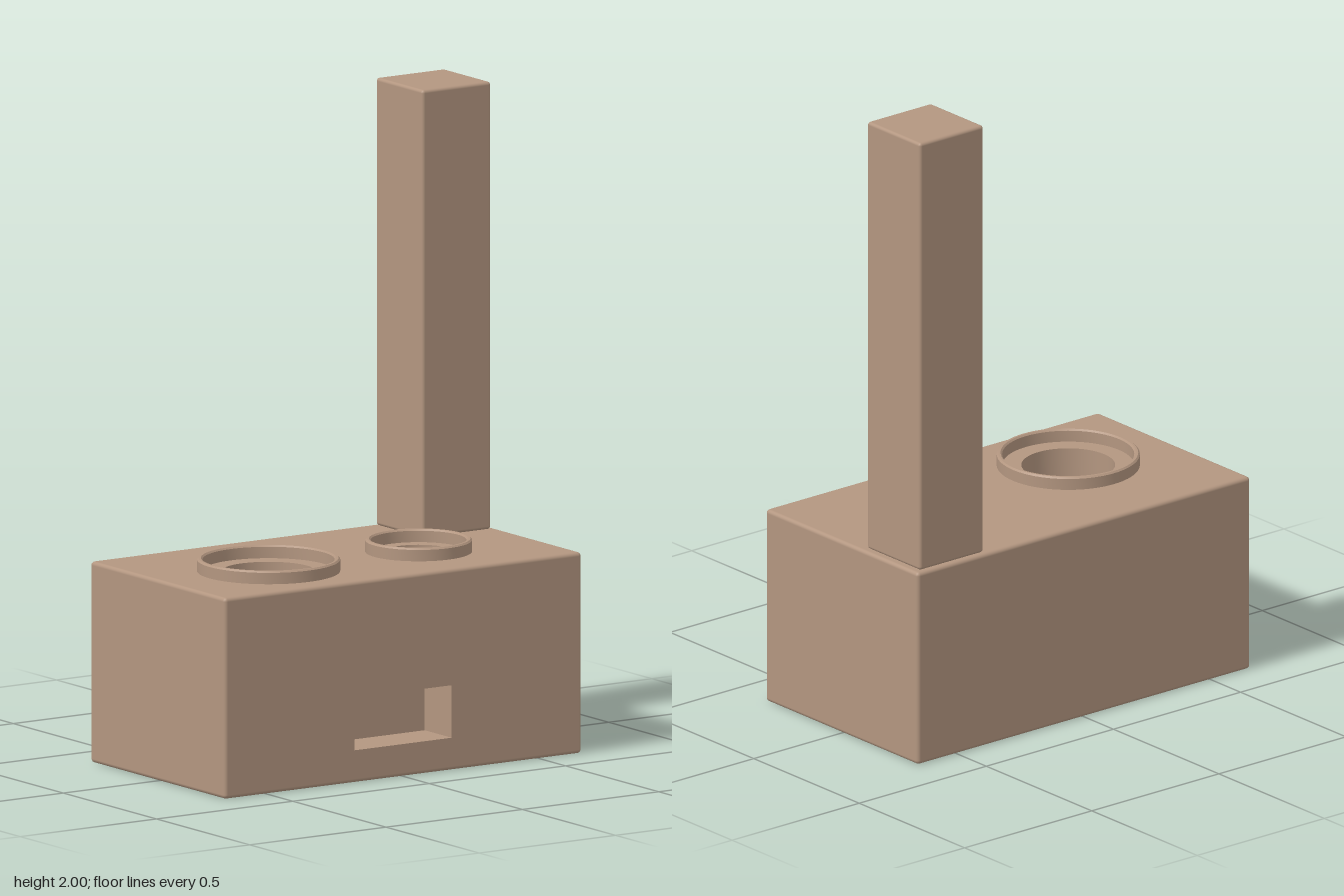
import * as THREE from 'three';
import { toCreasedNormals } from 'three/addons/utils/BufferGeometryUtils.js';
import { RoundedBoxGeometry } from 'three/addons/geometries/RoundedBoxGeometry.js';

const W = 1.31, H = 0.62, D = 0.724, R = 0.012; // body size and edge radius
const burners = [
  { name: 'largeBurner', x: -0.295, z: 0.07, outer: 0.217, inner: 0.2, hole: 0.142 },
  { name: 'smallBurner', x: 0.255, z: 0.07, outer: 0.162, inner: 0.145, hole: 0.103 },
];
const mouth = { x0: -0.18, x1: 0.177, y0: 0.1, y1: 0.262, depth: 0.145 };

// Rectangle path, used as a panel outline or as an opening
function rect(path, x0, y0, x1, y1) {
  path.moveTo(x0, y0);
  path.lineTo(x1, y0);
  path.lineTo(x1, y1);
  path.lineTo(x0, y1);
  path.closePath();
  return path;
}

// Rounded box without its flat top and front, which are replaced by pierced panels
function openBody() {
  const full = new RoundedBoxGeometry(W, H, D, 2, R).toNonIndexed();
  const p = full.attributes.position, n = full.attributes.normal;
  const pos = [], nor = [];
  for (let i = 0; i < p.count; i += 3) {
    const ids = [i, i + 1, i + 2];
    if (ids.every((k) => p.getY(k) > H / 2 - 1e-5)) continue;
    if (ids.every((k) => p.getZ(k) > D / 2 - 1e-5)) continue;
    for (const k of ids) {
      pos.push(p.getX(k), p.getY(k), p.getZ(k));
      nor.push(n.getX(k), n.getY(k), n.getZ(k));
    }
  }
  const g = new THREE.BufferGeometry();
  g.setAttribute('position', new THREE.Float32BufferAttribute(pos, 3));
  g.setAttribute('normal', new THREE.Float32BufferAttribute(nor, 3));
  return g.translate(0, H / 2, 0);
}

// Raised rim, inner ledge and sunken well in one turned profile
function burnerGeometry({ outer, inner, hole }) {
  const top = 0.66, b = 0.005, floor = H - 0.2;
  const profile = [
    [outer, H - 0.005], [outer, top - b], [outer - b, top], [inner + b, top],
    [inner, top - b], [inner, H], [hole, H], [hole, floor], [0, floor],
  ].map(([x, y]) => new THREE.Vector2(x, y));
  return toCreasedNormals(new THREE.LatheGeometry(profile, 64), 0.5);
}

// Box turned inside out, open towards the front
function pocketGeometry() {
  const { x0, x1, y0, y1, depth } = mouth;
  const g = new THREE.BoxGeometry(x1 - x0, y1 - y0, depth).scale(1, 1, -1);
  g.setIndex(Array.from(g.index.array).slice(0, 30));
  g.clearGroups();
  g.computeVertexNormals();
  return g.translate((x0 + x1) / 2, (y0 + y1) / 2, D / 2 - depth / 2);
}

export function createModel() {
  const model = new THREE.Group();
  model.name = 'stove';
  const clay = new THREE.MeshStandardMaterial({ color: 0xb39680 });
  clay.name = 'clay';
  const add = (name, geometry) => {
    const mesh = new THREE.Mesh(geometry, clay);
    mesh.name = name;
    model.add(mesh);
    return mesh;
  };

  add('body', openBody());

  // Top panel with a round opening for each burner
  const topShape = rect(new THREE.Shape(), -W / 2 + R, -D / 2 + R, W / 2 - R, D / 2 - R);
  for (const b of burners) {
    topShape.holes.push(new THREE.Path().absarc(b.x, -b.z, b.inner, 0, Math.PI * 2, true));
  }
  add('topPanel', new THREE.ShapeGeometry(topShape, 32).rotateX(-Math.PI / 2).translate(0, H, 0));

  // Front panel with the fire opening
  const frontShape = rect(new THREE.Shape(), -W / 2 + R, R, W / 2 - R, H - R);
  frontShape.holes.push(rect(new THREE.Path(), mouth.x0, mouth.y0, mouth.x1, mouth.y1));
  add('frontPanel', new THREE.ShapeGeometry(frontShape).translate(0, 0, D / 2));
  add('fireOpening', pocketGeometry());

  for (const b of burners) add(b.name, burnerGeometry(b)).position.set(b.x, 0, b.z);

  // Square chimney at the back left corner
  add('chimney', new RoundedBoxGeometry(0.252, 2 - H, 0.252, 2, 0.01)).position.set(0.509, (2 + H) / 2, -0.222);

  return model;
}
